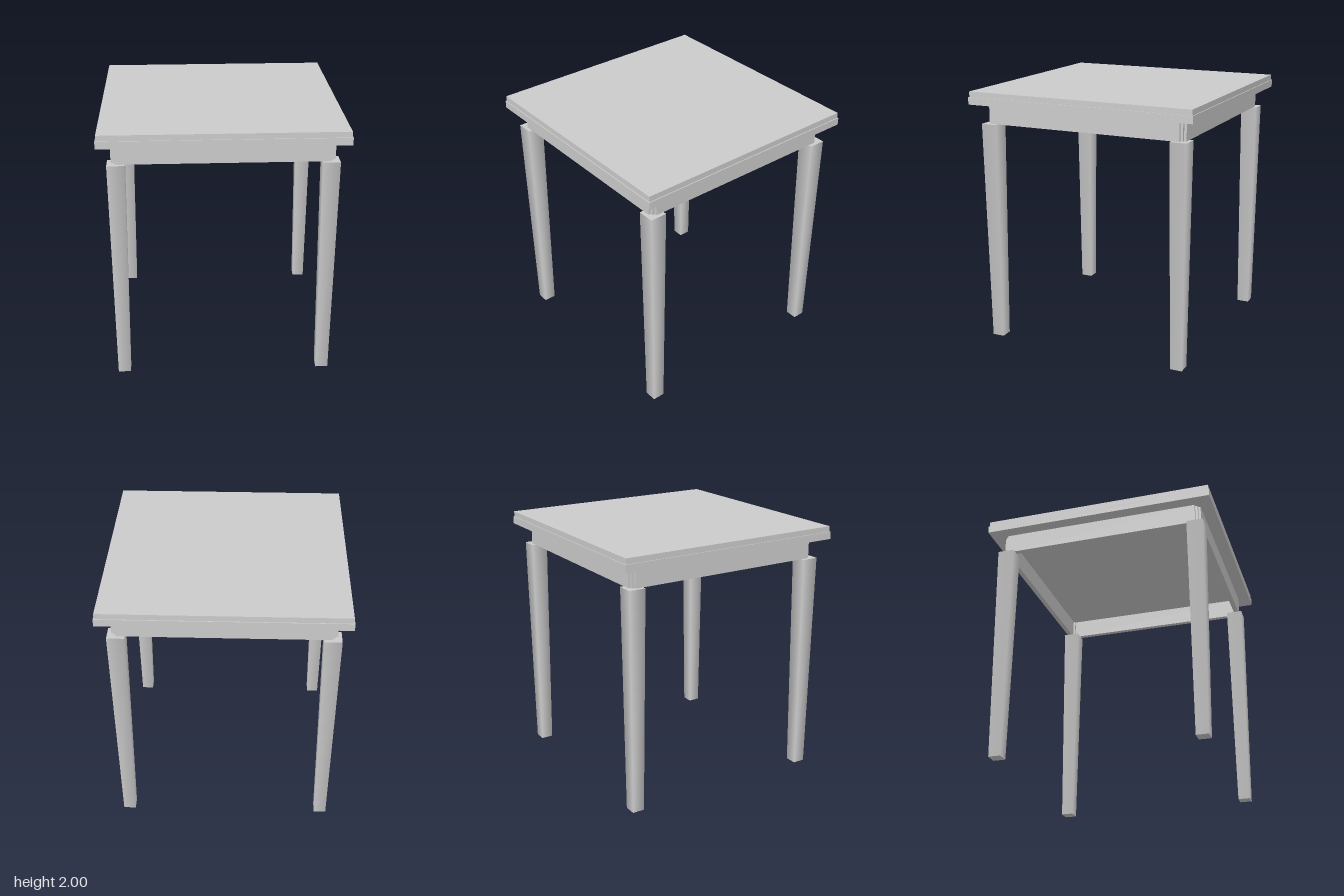
import * as THREE from 'three';

export function createModel() {
  const table = new THREE.Group();
  table.name = 'table';
  const material = new THREE.MeshStandardMaterial({ color: 0xcccccc });

  function add(name, geometry, x, y, z) {
    const mesh = new THREE.Mesh(geometry, material);
    mesh.name = name;
    mesh.position.set(x, y, z);
    table.add(mesh);
    return mesh;
  }
  // Box standing between two heights
  const slab = (name, w, d, y0, y1, x = 0, z = 0) =>
    add(name, new THREE.BoxGeometry(w, y1 - y0, d), x, (y0 + y1) / 2, z);

  const legTop = 1.745, apronTop = 1.9, step = 1.957, top = 2;
  const apronOuter = 0.817, apronInner = 0.778, legCentre = 0.78;

  // Table top: two layers, the lower one slightly wider
  slab('tableTopUpper', 1.814, 1.814, step, top);
  slab('tableTopLower', 1.828, 1.828, apronTop, step);

  // Apron boards, stopping short of each other to leave notched corners
  const thick = apronOuter - apronInner, mid = (apronOuter + apronInner) / 2;
  for (const s of [1, -1]) {
    slab(s > 0 ? 'apronFront' : 'apronBack', apronInner * 2, thick, legTop, apronTop, 0, s * mid);
    slab(s > 0 ? 'apronLeft' : 'apronRight', thick, apronInner * 2, legTop, apronTop, s * mid, 0);
  }

  // Square tapered legs with softly shaded sides, each with a small corner post above
  const legGeometry = new THREE.CylinderGeometry(0.065 * Math.SQRT2, 0.0475 * Math.SQRT2, legTop, 4);
  legGeometry.rotateY(Math.PI / 4);
  for (const sx of [1, -1]) {
    for (const sz of [1, -1]) {
      const corner = (sz > 0 ? 'Front' : 'Back') + (sx > 0 ? 'Left' : 'Right');
      add('leg' + corner, legGeometry, sx * legCentre, legTop / 2, sz * legCentre);
      slab('cornerPost' + corner, 0.036, 0.036, legTop, apronTop, sx * legCentre, sz * legCentre);
    }
  }
  return table;
}
